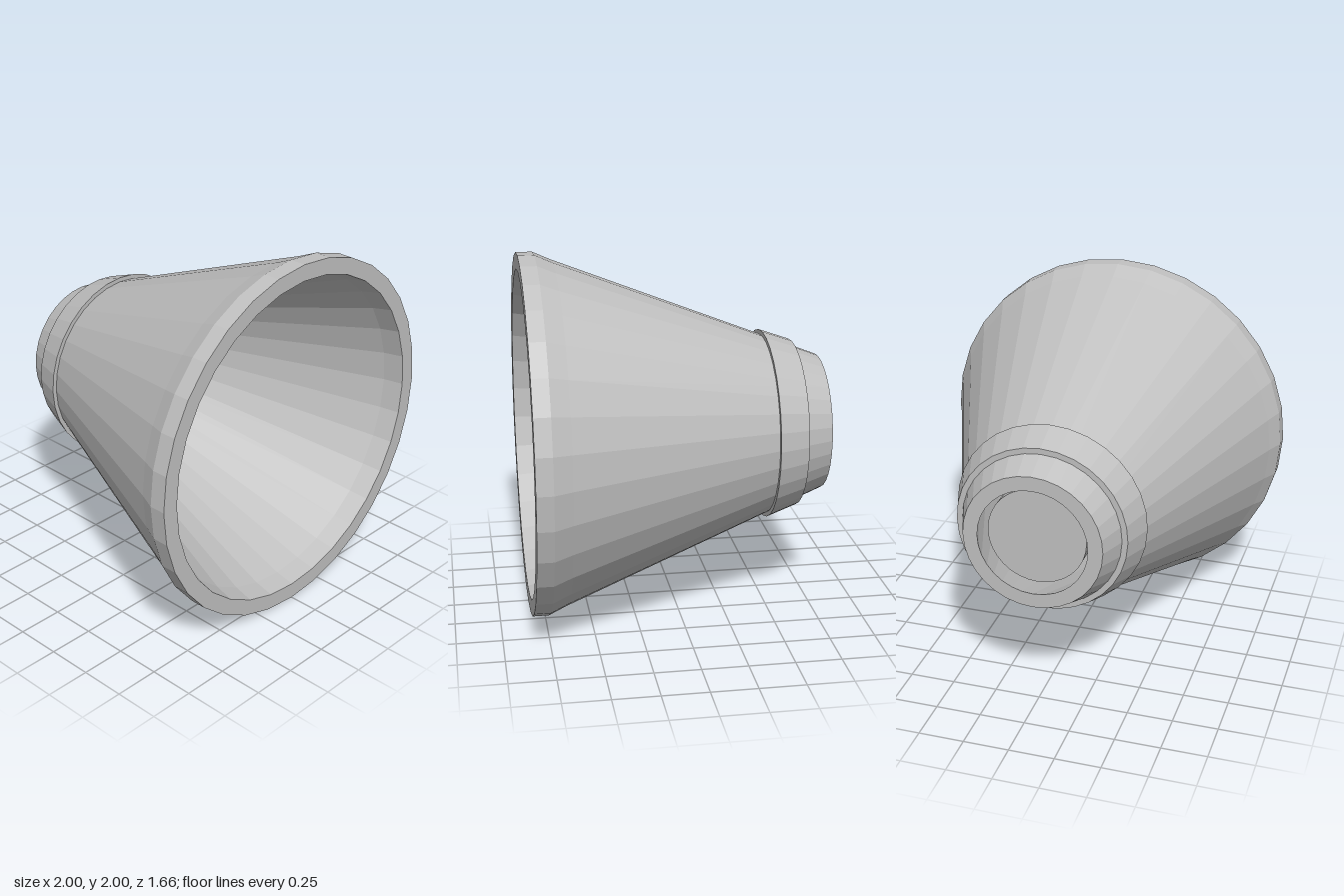
import * as THREE from 'three';

const SIDES = 32;

export function createModel() {
  const grey = new THREE.MeshStandardMaterial({ color: 0xc0c0c0, flatShading: true });
  grey.name = 'light grey';

  const model = new THREE.Group();
  model.name = 'nozzle';

  // Revolve a [radius, z] profile (outside running back to front) around the z axis
  const turned = (name, profile) => {
    const points = profile.map(([r, z]) => new THREE.Vector2(r, z));
    const geometry = new THREE.LatheGeometry(points, SIDES).rotateX(Math.PI / 2);
    const mesh = new THREE.Mesh(geometry, grey);
    mesh.name = name;
    mesh.position.y = 1;
    model.add(mesh);
  };

  // Hollow flared bell, open at both ends
  turned('bell', [
    [0.3, -0.83], [0.38, -0.83], [0.955, 0.64], [1, 0.74], [1, 0.83],
    [0.91, 0.83], [0.885, 0.72], [0.3, -0.83],
  ]);

  // Raised collar around the narrow end
  turned('collar', [
    [0.42, -0.68], [0.47, -0.68], [0.53, -0.51], [0.48, -0.51],
  ]);

  // Blunt plug floating in the throat
  turned('plug', [
    [0, -0.75], [0.27, -0.75], [0.27, -0.55], [0.21, -0.42], [0.115, -0.29], [0, -0.29],
  ]);

  return model;
}
